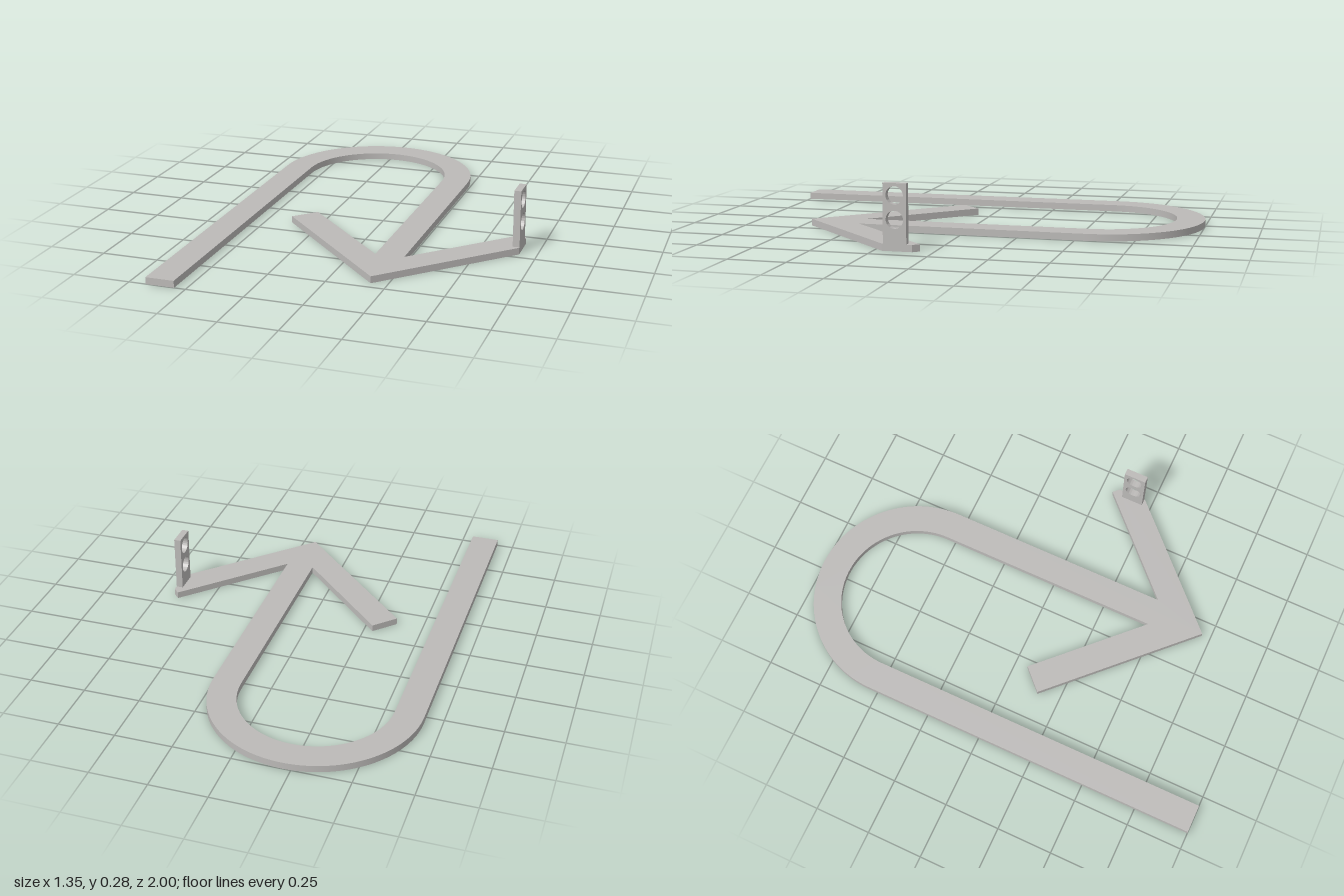
import * as THREE from 'three';
import { toCreasedNormals } from 'three/addons/utils/BufferGeometryUtils.js';

const THICK = 0.03;

function extrude(shape) {
  return new THREE.ExtrudeGeometry(shape, { depth: THICK, bevelEnabled: false, curveSegments: 48 });
}

export function createModel() {
  const group = new THREE.Group();
  const grey = new THREE.MeshStandardMaterial({ color: 0xbcbab8 });
  grey.name = 'light grey';

  const add = (name, geometry) => {
    const mesh = new THREE.Mesh(toCreasedNormals(geometry, 0.5), grey);
    mesh.name = name;
    group.add(mesh);
  };

  // Flat hooked arrow, outlined in x and z: straight tail, half-round bend, arrowhead
  const cx = -0.215, cz = -0.54, outer = 0.46, inner = 0.335;
  const arrow = new THREE.Shape();
  arrow.moveTo(cx - outer, 1);
  arrow.lineTo(cx - outer, cz);
  arrow.absarc(cx, cz, outer, Math.PI, 2 * Math.PI, false);
  const head = [
    [0.245, 0.465], [0.65, 0.06], [0.675, 0.085], [0.675, 0.215],
    [0.18, 0.71], [-0.38, 0.15], [-0.29, 0.06], [0.12, 0.47],
  ];
  for (const [x, z] of head) arrow.lineTo(x, z);
  arrow.lineTo(cx + inner, cz);
  arrow.absarc(cx, cz, inner, 2 * Math.PI, Math.PI, true);
  arrow.lineTo(cx - inner, 1);
  arrow.closePath();
  add('hookedArrow', extrude(arrow).rotateX(Math.PI / 2).translate(0, THICK, 0));

  // Upright mounting tab with two round holes, on the clipped arrowhead end
  const tab = new THREE.Shape();
  tab.moveTo(-0.05, THICK);
  tab.lineTo(0.05, THICK);
  tab.lineTo(0.05, 0.28);
  tab.lineTo(-0.05, 0.28);
  tab.closePath();
  for (const y of [0.13, 0.23]) {
    tab.holes.push(new THREE.Path().absarc(0, y, 0.037, 0, 2 * Math.PI, true));
  }
  add('mountingTab', extrude(tab).rotateY(Math.PI / 2).translate(0.675 - THICK, 0, 0.16));

  return group;
}
